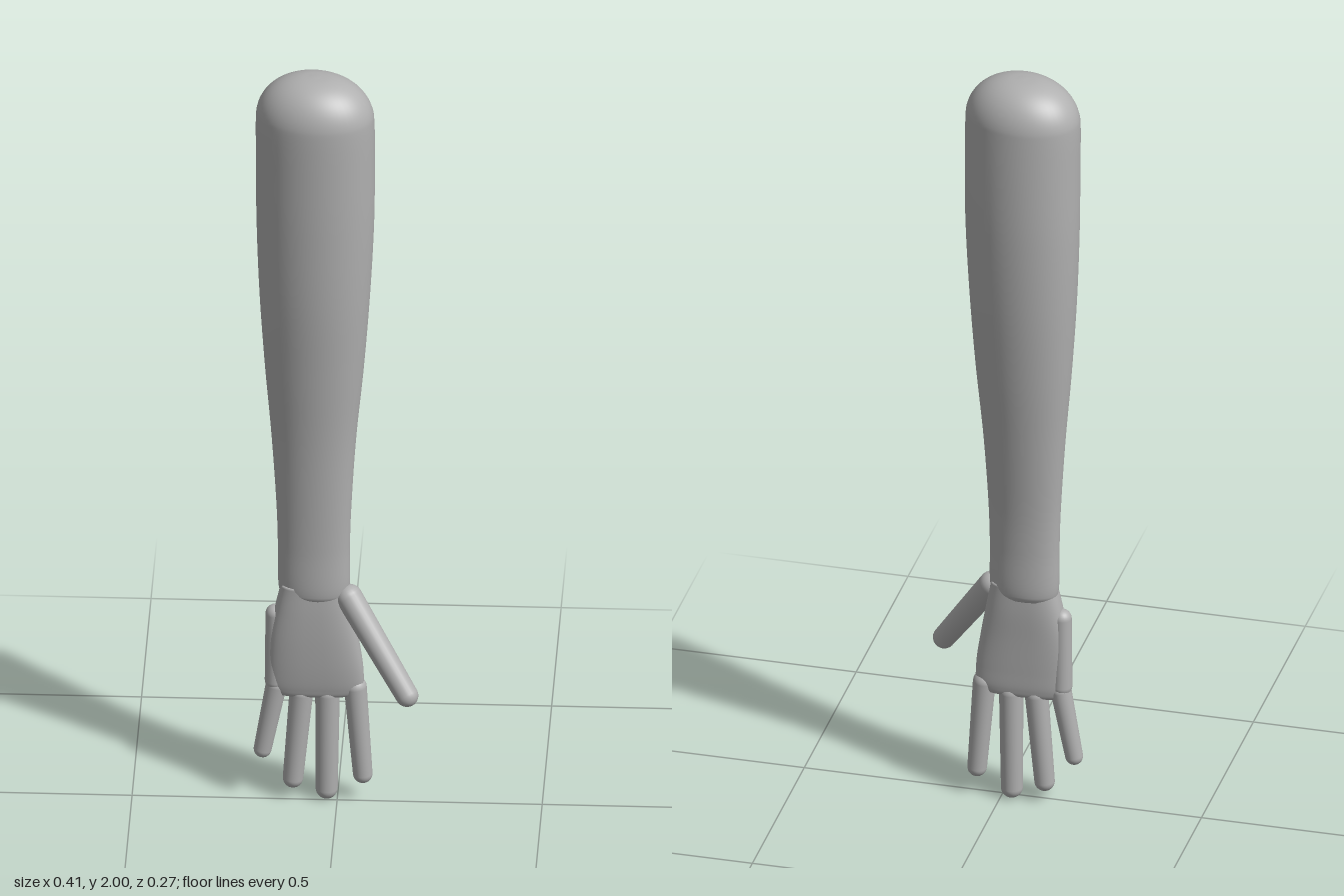
import * as THREE from 'three';

// Closed smooth loft through rows of [y, xMin, xMax, zMin, zMax]; power < 1 gives a boxier section
function loft(rows, power, skew, sides = 48, steps = 64) {
  const curves = [1, 2, 3, 4].map(k =>
    new THREE.CatmullRomCurve3(rows.map(r => new THREE.Vector3(r[0], r[k], 0)), false, 'centripetal'));
  const pos = [], index = [];
  const bend = v => Math.sign(v) * Math.abs(v) ** power;
  for (let i = 0; i <= steps; i++) {
    const [a, b, c, d] = curves.map(curve => curve.getPoint(i / steps));
    for (let j = 0; j < sides; j++) {
      const t = j / sides * Math.PI * 2;
      pos.push((a.y + b.y) / 2 + (b.y - a.y) / 2 * bend(Math.cos(t)), a.x,
        (c.y + d.y) / 2 + (d.y - c.y) / 2 * bend(Math.sin(t + skew)));
    }
  }
  for (let i = 0; i < steps; i++) for (let j = 0; j < sides; j++) {
    const p = i * sides + j, q = i * sides + (j + 1) % sides;
    index.push(p, p + sides, q, q, p + sides, q + sides);
  }
  // end caps
  for (const [row, flip] of [[0, false], [steps, true]]) {
    const mid = pos.length / 3;
    const o = row * sides, h = o + sides / 2;
    pos.push((pos[o * 3] + pos[h * 3]) / 2, pos[o * 3 + 1], (pos[o * 3 + 2] + pos[h * 3 + 2]) / 2);
    for (let j = 0; j < sides; j++) {
      const p = o + j, q = o + (j + 1) % sides;
      if (flip) index.push(mid, q, p); else index.push(mid, p, q);
    }
  }
  const geo = new THREE.BufferGeometry();
  geo.setAttribute('position', new THREE.Float32BufferAttribute(pos, 3));
  geo.setIndex(index);
  geo.computeVertexNormals();
  return geo;
}

// Tapered rod with round ends from point a to point b
function digit(name, a, b, ra, rb, material) {
  const from = new THREE.Vector3(...a), to = new THREE.Vector3(...b);
  const length = from.distanceTo(to), profile = [], n = 8;
  for (let i = 0; i <= n; i++) {
    const t = i / n * Math.PI / 2;
    profile.push(new THREE.Vector2(ra * Math.sin(t), -ra * Math.cos(t)));
  }
  for (let i = 0; i <= n; i++) {
    const t = i / n * Math.PI / 2;
    profile.push(new THREE.Vector2(rb * Math.cos(t), length + rb * Math.sin(t)));
  }
  const mesh = new THREE.Mesh(new THREE.LatheGeometry(profile, 24), material);
  mesh.name = name;
  mesh.position.copy(from);
  mesh.quaternion.setFromUnitVectors(new THREE.Vector3(0, 1, 0), to.sub(from).normalize());
  return mesh;
}

export function createModel() {
  const group = new THREE.Group();
  group.name = 'armWithHand';
  const grey = new THREE.MeshStandardMaterial({ color: 0xb0b0b0 });
  grey.name = 'plain grey';

  // Arm: slender wrist widening to the upper arm
  const rows = [
    [0.565, -0.135, 0.022, -0.052, 0.037],
    [0.58, -0.142, 0.029, -0.058, 0.043],
    [0.7, -0.145, 0.031, -0.061, 0.046],
    [0.8, -0.148, 0.034, -0.066, 0.05],
    [1.0, -0.161, 0.046, -0.086, 0.061],
    [1.2, -0.178, 0.065, -0.108, 0.078],
    [1.4, -0.191, 0.08, -0.125, 0.094],
    [1.6, -0.198, 0.09, -0.133, 0.101],
    [1.75, -0.199, 0.092, -0.132, 0.103]
  ];
  // Rounded shoulder
  for (let i = 0; i <= 8; i++) {
    const t = i / 8 * Math.PI / 2 * 0.98;
    const s = Math.cos(t) ** 0.85;
    rows.push([1.885 + 0.115 * Math.sin(t), -0.054 - 0.145 * s, -0.054 + 0.145 * s,
      -0.012 - 0.115 * s, -0.012 + 0.115 * s]);
  }
  const arm = new THREE.Mesh(loft(rows, 1, 0.1, 48, 120), grey);
  arm.name = 'arm';
  group.add(arm);

  // Palm: flat, rounded block thinning towards the knuckles
  const palm = new THREE.Mesh(loft([
    [0.286, -0.135, 0.03, -0.025, 0.005],
    [0.292, -0.152, 0.048, -0.034, 0.014],
    [0.31, -0.166, 0.062, -0.039, 0.02],
    [0.36, -0.17, 0.064, -0.042, 0.028],
    [0.45, -0.166, 0.052, -0.046, 0.036],
    [0.53, -0.152, 0.038, -0.05, 0.039],
    [0.6, -0.136, 0.025, -0.05, 0.038]
  ], 0.75, 0), grey);
  palm.name = 'palm';
  group.add(palm);

  // Outer edge of the palm, thumb and fingers
  const digits = [
    ['palmEdge', [-0.151, 0.51, -0.008], [-0.151, 0.325, -0.01], 0.024, 0.026],
    ['thumb', [0.03, 0.57, 0.012], [0.175, 0.352, 0.106], 0.033, 0.028],
    ['indexFinger', [0.044, 0.31, -0.01], [0.062, 0.07, -0.01], 0.028, 0.024],
    ['middleFinger', [-0.024, 0.29, -0.011], [-0.026, 0.027, -0.012], 0.03, 0.027],
    ['ringFinger', [-0.088, 0.29, -0.011], [-0.108, 0.054, -0.011], 0.029, 0.025],
    ['littleFinger', [-0.149, 0.31, -0.01], [-0.182, 0.133, -0.01], 0.026, 0.022]
  ];
  for (const d of digits) group.add(digit(...d, grey));
  return group;
}
